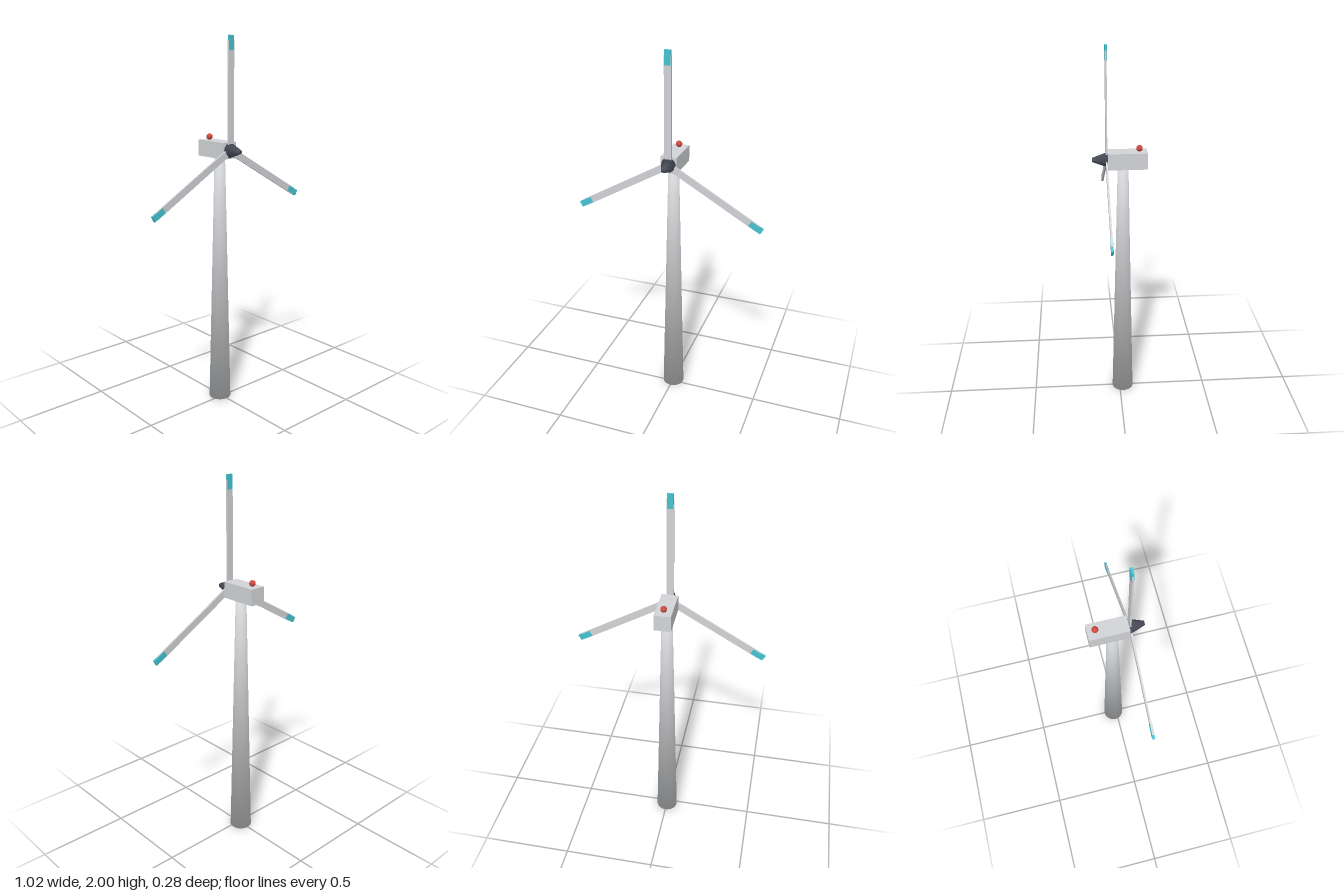
import * as THREE from 'three';

const paint = (name, color) => new THREE.MeshStandardMaterial({ name, color });

// Tapered cylinder whose normals blend across the rims, so the shading rolls over the ends
function softCylinder(top, bottom, height, sides) {
  const g = new THREE.CylinderGeometry(top, bottom, height, sides);
  const p = g.attributes.position, n = g.attributes.normal;
  const v = new THREE.Vector3();
  for (let i = 0; i < p.count; i++) {
    v.set(p.getX(i), 0, p.getZ(i));
    if (v.length() > 1e-5) v.normalize();
    v.y = Math.sign(p.getY(i));
    v.normalize();
    n.setXYZ(i, v.x, v.y, v.z);
  }
  return g;
}

export function createModel() {
  const model = new THREE.Group();
  model.name = 'windTurbine';

  const shell = paint('lightGrey', 0xd2d4d7);
  const dark = paint('darkSlate', 0x4b505c);
  const teal = paint('teal', 0x45c4d2);
  const red = paint('beaconRed', 0xd04a40);

  const add = (parent, name, geometry, material, x, y, z) => {
    const mesh = new THREE.Mesh(geometry, material);
    mesh.name = name;
    mesh.position.set(x, y, z);
    parent.add(mesh);
    return mesh;
  };

  // Tower and the housing on top of it
  add(model, 'tower', softCylinder(0.028, 0.06, 1.385, 32), shell, 0, 0.6925, -0.018);
  add(model, 'nacelle', new THREE.BoxGeometry(0.086, 0.086, 0.204), shell, 0, 1.422, -0.04);
  add(model, 'beacon', new THREE.SphereGeometry(0.0165, 20, 14), red, 0, 1.481, -0.102);

  // Rotor: nose cone with three blades
  const rotor = new THREE.Group();
  rotor.name = 'rotor';
  rotor.position.set(0, 1.423, 0);
  model.add(rotor);

  const hub = add(rotor, 'hub', softCylinder(0.011, 0.04, 0.082, 24), dark, 0, 0, 0.101);
  hub.rotation.x = Math.PI / 2;

  const bladeGeometry = new THREE.BoxGeometry(0.037, 0.552, 0.009);
  const tipGeometry = new THREE.BoxGeometry(0.032, 0.073, 0.012);
  for (let i = 0; i < 3; i++) {
    const arm = new THREE.Group();
    arm.name = 'bladeArm' + (i + 1);
    arm.rotation.z = (i * Math.PI * 2) / 3;
    add(arm, 'blade', bladeGeometry, shell, 0, 0.276, 0.068);
    add(arm, 'bladeTip', tipGeometry, teal, 0, 0.5405, 0.068);
    rotor.add(arm);
  }

  return model;
}
